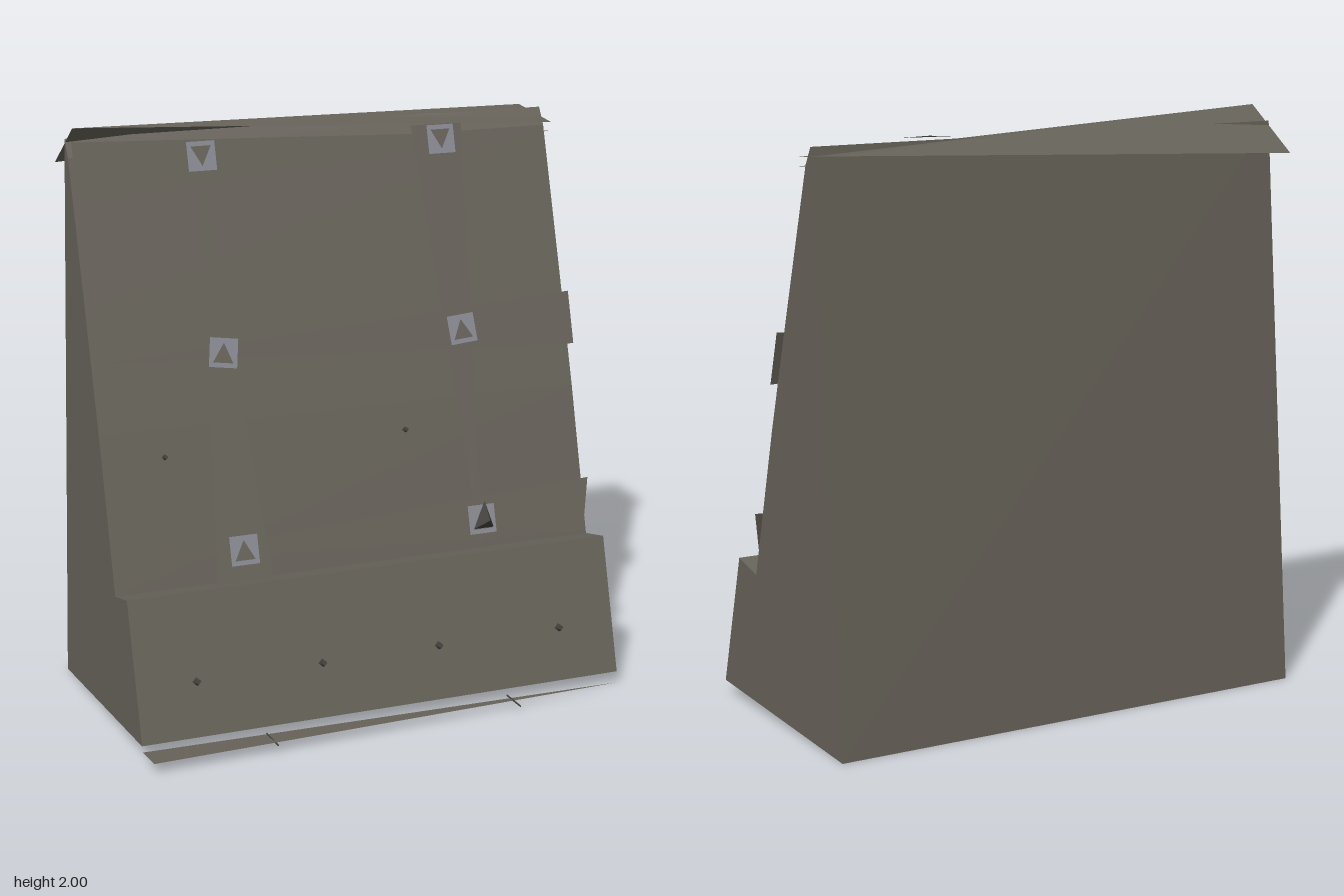
import * as THREE from 'three';

const paint = (name, color) =>
  Object.assign(new THREE.MeshStandardMaterial({ color, side: THREE.DoubleSide }), { name });

export function createModel() {
  const group = new THREE.Group();
  const concrete = paint('grey brown concrete', 0x67635a);
  const steel = paint('pale steel', 0x8a8a93);
  const dark = paint('dark bolt', 0x45433e);
  const W = 0.88;

  const add = (name, geometry, material, parent = group) => {
    const mesh = new THREE.Mesh(geometry, material);
    mesh.name = name;
    parent.add(mesh);
    return mesh;
  };
  // Flat facets from triples of corners
  const facets = (...corners) => {
    const g = new THREE.BufferGeometry();
    g.setAttribute('position', new THREE.Float32BufferAttribute(corners.flat(), 3));
    g.computeVertexNormals();
    return g;
  };

  // Side profile (z, y), from the front foot over the crest to the back foot
  const profile = [[0.37, 0.045], [0.24, 0.51], [0.11, 0.48], [-0.03, 1.0],
    [-0.15, 1.4], [-0.3, 1.89], [-0.335, 1.95], [-0.5, 0]];

  // Open-bottomed shell across the width
  const skin = [];
  for (let i = 0; i < profile.length - 1; i++) {
    const [z0, y0] = profile[i], [z1, y1] = profile[i + 1];
    const a = [-W, y0, z0], b = [W, y0, z0], c = [W, y1, z1], d = [-W, y1, z1];
    skin.push(a, b, c, a, c, d);
  }
  add('barrierShell', facets(...skin), concrete);

  // End walls
  const end = new THREE.Shape(profile.map(([z, y]) => new THREE.Vector2(z, y)));
  for (const side of [-1, 1]) {
    const wall = add(side > 0 ? 'leftEndWall' : 'rightEndWall', new THREE.ShapeGeometry(end), concrete);
    wall.rotation.y = -Math.PI / 2;
    wall.position.x = side * W;
  }

  // Tapered slats lying on a sloping plane just ahead of the shell
  const onSlope = (x, y, lift = 0) => [x, y, 0.165 - (y - 0.5) * 0.291 + lift];
  const slat = (name, p, lift) =>
    add(name, facets(...p.map(([x, y]) => onSlope(x, y, lift))), concrete);
  slat('upperRail', [[-W, 1.95], [-W, 1.76], [W, 1.88]], 0);
  slat('middleRail', [[-W, 1.24], [W, 1.15], [W, 1.33]], 0);
  slat('lowerRail', [[-W, 0.6], [0.84, 0.51], [W, 0.69]], 0);
  slat('rightUpright', [[-0.44, 1.9], [-0.54, 0.49], [-0.34, 0.49]], 0.006);
  slat('leftUpright', [[0.44, 0.49], [0.53, 1.93], [0.34, 1.93]], 0.006);

  // Tilted cap on the crest
  const front = [-W, 2.0, -0.24], back = [W, 1.935, -0.5];
  add('cap', facets(front, back, [-W, 1.85, -0.46], front, [W, 1.91, -0.24], back), concrete);
  add('capSliver', facets([0.34, 1.955, -0.31], [0.53, 1.955, -0.275], [0.44, 1.96, -0.3]), concrete);

  // Thin kick strip ahead of the foot
  add('kickStrip', facets([-W, 0.035, 0.5], [0.85, 0.03, 0.43], [-W, 0.025, 0.375]), concrete);
  for (const x of [-0.45, 0.44])
    add('kickStripPin', new THREE.BoxGeometry(0.004, 0.004, 0.11), dark).position.set(x, 0.03, 0.445);

  // Square clamp plates with a triangular opening
  const clampGeometry = (up) => {
    const s = 0.05, t = 0.034 * up;
    const plate = new THREE.Shape([[-s, -s], [s, -s], [s, s], [-s, s]].map((p) => new THREE.Vector2(...p)));
    plate.holes.push(new THREE.Path([[-0.036, -t], [0.036, -t], [0, t]].map((p) => new THREE.Vector2(...p))));
    return new THREE.ShapeGeometry(plate);
  };
  for (const [y, z, up] of [[1.885, -0.2, -1], [1.25, -0.005, 1], [0.61, 0.18, 1]]) {
    for (const x of [-0.445, 0.435]) {
      const clamp = add('clampPlate', clampGeometry(up), steel);
      clamp.position.set(x, y, z);
      clamp.rotation.x = -0.28;
      if (y === 1.25) clamp.rotation.z = x < 0 ? -0.15 : 0.08;
    }
  }
  // Pointed stud on the lower left clamp
  const tip = [0.44, 0.62, 0.235], studBase = [[0.4, 0.58, 0.19], [0.475, 0.58, 0.19], [0.45, 0.67, 0.165]];
  add('clampStud', facets(...studBase.flatMap((p, i) => [p, studBase[(i + 1) % 3], tip])), dark);

  // Small bolts on the foot and the sloping face
  const bolt = (x, y, z, r) => {
    const mesh = add('bolt', new THREE.CylinderGeometry(r * 0.6, r, 0.03, 4), dark);
    mesh.position.set(x, y, z);
    mesh.rotation.x = Math.PI / 2 - 0.28;
  };
  for (const x of [-0.67, -0.22, 0.21, 0.67]) bolt(x, 0.225, 0.325, 0.017);
  for (const x of [-0.66, 0.22]) bolt(x, 0.91, 0.0, 0.012);

  return group;
}
